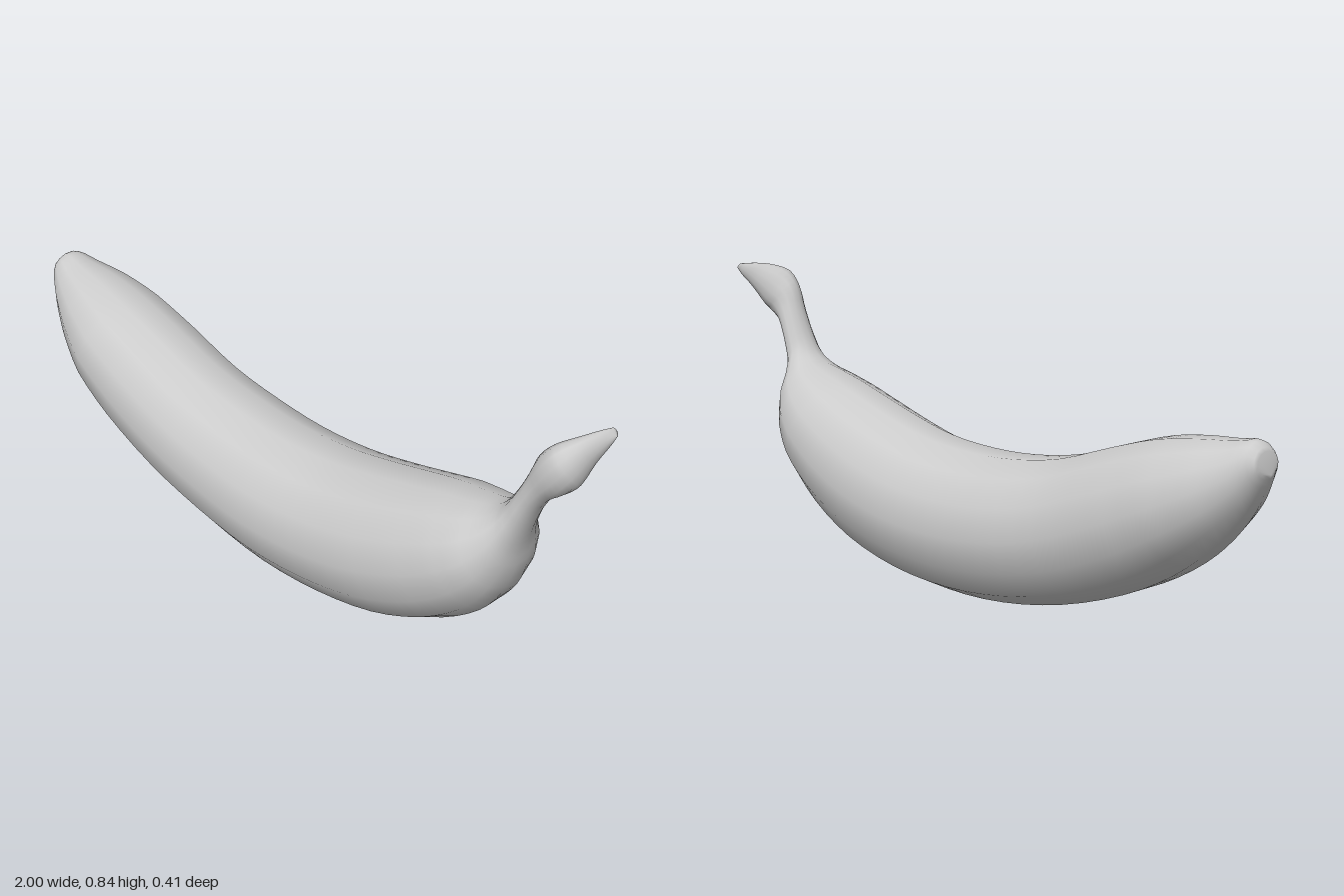
import * as THREE from 'three';

const SIDES = 14;
const STEPS = 3; // rings per station

// Stations along the fruit: top x, top y, bottom x, bottom y, half width, centre z, tilt of the +z side
const BODY = [
  [-0.992, 0.578, -1.0, 0.52, 0.038, 0, 0],
  [-0.965, 0.6, -0.988, 0.49, 0.057, 0, 0],
  [-0.9, 0.592, -0.95, 0.42, 0.092, 0, 0],
  [-0.8, 0.582, -0.88, 0.335, 0.135, 0, 0],
  [-0.67, 0.56, -0.78, 0.25, 0.17, 0.005, 0],
  [-0.52, 0.515, -0.64, 0.165, 0.184, 0.005, 0],
  [-0.34, 0.455, -0.43, 0.08, 0.19, 0.004, 0],
  [-0.17, 0.425, -0.21, 0.025, 0.196, 0, 0],
  [0, 0.415, 0.02, 0, 0.2, 0, 0],
  [0.17, 0.425, 0.24, 0.012, 0.201, -0.004, 0],
  [0.32, 0.455, 0.45, 0.06, 0.2, -0.005, 0],
  [0.46, 0.492, 0.62, 0.14, 0.191, -0.005, 0],
  [0.58, 0.525, 0.74, 0.235, 0.174, -0.004, 0],
  [0.67, 0.545, 0.8, 0.32, 0.148, 0, 0],
  [0.735, 0.562, 0.828, 0.4, 0.112, 0, 0],
  [0.775, 0.585, 0.838, 0.47, 0.078, 0.005, 0],
  [0.8, 0.615, 0.855, 0.54, 0.056, 0.01, 0],
];
const STEM = [
  BODY[BODY.length - 1],
  [0.825, 0.66, 0.88, 0.61, 0.049, 0.01, 0],
  [0.85, 0.715, 0.91, 0.66, 0.046, 0.012, 0],
  [0.875, 0.775, 0.955, 0.698, 0.049, 0.014, 0.015],
  [0.905, 0.81, 0.98, 0.73, 0.05, 0.002, 0.03],
  [0.945, 0.833, 0.99, 0.78, 0.036, -0.038, 0.022],
  [0.972, 0.845, 0.997, 0.812, 0.02, -0.08, 0.008],
  [0.984, 0.847, 1.0, 0.83, 0.008, -0.1, 0],
];

// Smoothly interpolated station values
function resample(stations) {
  const pick = (f) => new THREE.CatmullRomCurve3(stations.map(f));
  const top = pick((s) => new THREE.Vector3(s[0], s[1], s[5]));
  const bottom = pick((s) => new THREE.Vector3(s[2], s[3], s[5]));
  const width = pick((s) => new THREE.Vector3(s[4], s[6], 0));
  const n = (stations.length - 1) * STEPS;
  return Array.from({ length: n + 1 }, (_, i) => {
    const t = i / n;
    return { top: top.getPoint(t), bottom: bottom.getPoint(t), w: width.getPoint(t) };
  });
}

// Skin of 14-sided oval rings, closed at both ends
function loft(rings) {
  const pos = [], index = [];
  for (const { top, bottom, w } of rings) {
    const centre = top.clone().add(bottom).multiplyScalar(0.5);
    const up = top.clone().sub(bottom).multiplyScalar(0.5);
    const side = new THREE.Vector3(w.y * 0.3, w.y, w.x);
    for (let j = 0; j < SIDES; j++) {
      const a = ((j + 0.5) / SIDES) * Math.PI * 2;
      const p = centre.clone().addScaledVector(up, -Math.cos(a) * 1.015).addScaledVector(side, Math.sin(a));
      pos.push(p.x, Math.max(p.y, 0), p.z);
    }
  }
  const at = (i, j) => i * SIDES + (j % SIDES);
  for (let i = 0; i < rings.length - 1; i++) {
    for (let j = 0; j < SIDES; j++) {
      const a = at(i, j), b = at(i + 1, j), c = at(i + 1, j + 1), d = at(i, j + 1);
      index.push(a, b, c, a, c, d);
    }
  }
  const last = rings.length - 1;
  for (let j = 1; j < SIDES - 1; j++) {
    index.push(at(0, 0), at(0, j), at(0, j + 1));
    index.push(at(last, 0), at(last, j + 1), at(last, j));
  }
  const geo = new THREE.BufferGeometry();
  geo.setAttribute('position', new THREE.Float32BufferAttribute(pos, 3));
  geo.setIndex(index);
  geo.computeVertexNormals();
  return geo;
}

export function createModel() {
  const group = new THREE.Group();
  group.name = 'banana';
  const material = new THREE.MeshStandardMaterial({ color: 0xcccccc, roughness: 0.8 });

  // Curved fruit, blunt tip, neck and hooked stem share one continuous skin
  const rings = resample([...BODY, ...STEM.slice(1)]);
  const fruit = new THREE.Mesh(loft(rings), material);
  fruit.name = 'fruitAndStem';
  group.add(fruit);
  return group;
}
